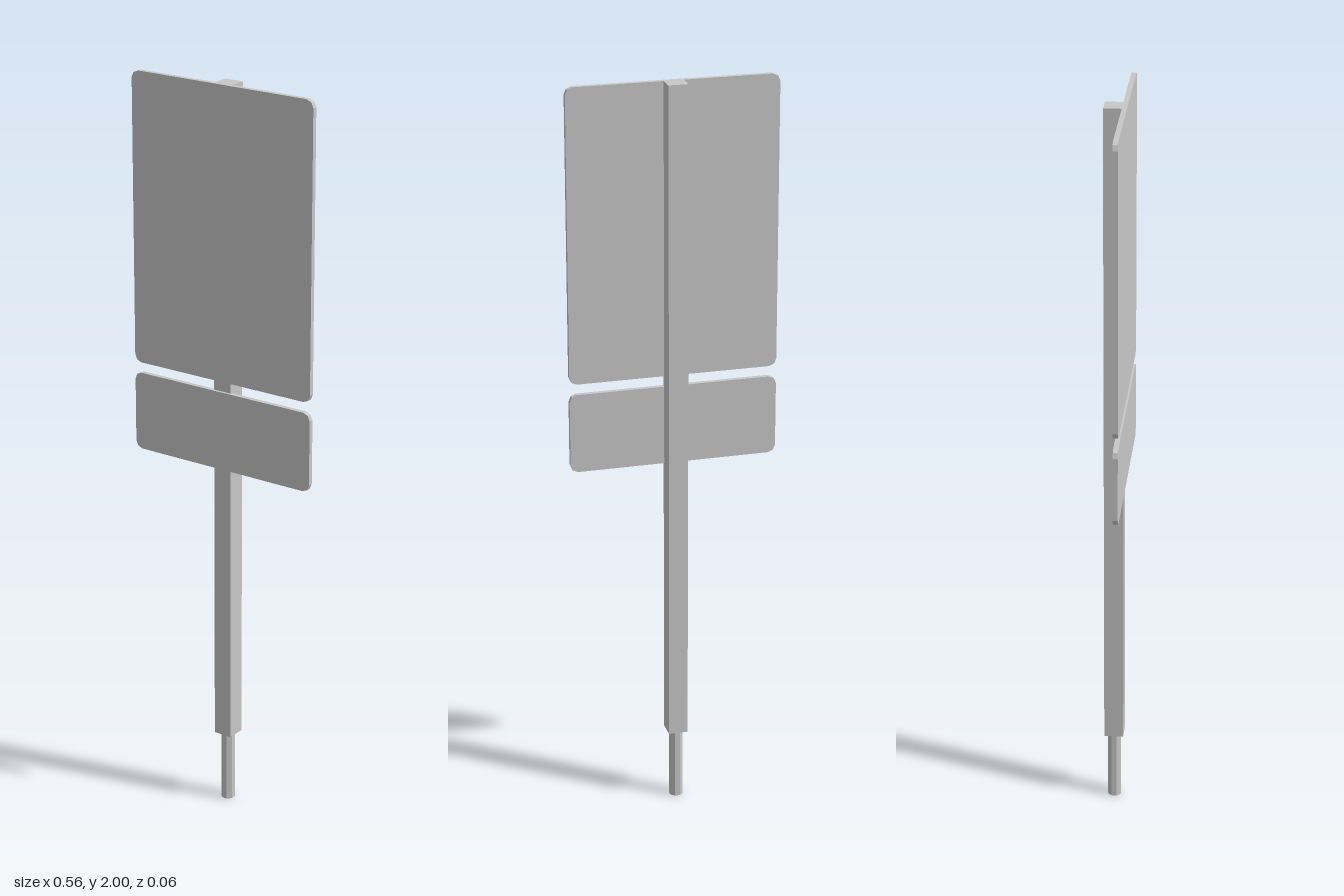
import * as THREE from 'three';

// Flat plate with rounded corners, spanning y0..y1
function plateGeometry(width, y0, y1, r, depth) {
  const w = width / 2;
  const s = new THREE.Shape();
  s.moveTo(-w + r, y0);
  s.lineTo(w - r, y0);
  s.absarc(w - r, y0 + r, r, -Math.PI / 2, 0);
  s.lineTo(w, y1 - r);
  s.absarc(w - r, y1 - r, r, 0, Math.PI / 2);
  s.lineTo(-w + r, y1);
  s.absarc(-w + r, y1 - r, r, Math.PI / 2, Math.PI);
  s.lineTo(-w, y0 + r);
  s.absarc(-w + r, y0 + r, r, Math.PI, Math.PI * 1.5);
  // Curves on an arc get twice this many segments, so 1 gives two-facet corners
  return new THREE.ExtrudeGeometry(s, { depth, bevelEnabled: false, curveSegments: 1 });
}

export function createModel() {
  const group = new THREE.Group();
  const grey = new THREE.MeshStandardMaterial({ color: 0xc8c8c8 });
  grey.name = 'lightGrey';

  const add = (name, geometry, x, y, z) => {
    const mesh = new THREE.Mesh(geometry, grey);
    mesh.name = name;
    mesh.position.set(x, y, z);
    group.add(mesh);
  };

  // Square post standing on a thin eight-sided ground peg
  add('post', new THREE.BoxGeometry(0.052, 1.802, 0.052), 0, 1.099, -0.004);
  const peg = new THREE.CylinderGeometry(0.019, 0.019, 0.2, 8).rotateY(Math.PI / 8).toNonIndexed();
  peg.computeVertexNormals();
  add('groundPeg', peg, 0, 0.1, -0.004);

  // Sign plates let into the front of the post
  add('mainSignPlate', plateGeometry(0.556, 1.219, 2, 0.02, 0.013), 0, 0, 0.016);
  add('lowerSignPlate', plateGeometry(0.556, 0.976, 1.19, 0.02, 0.013), 0, 0, 0.016);

  return group;
}
